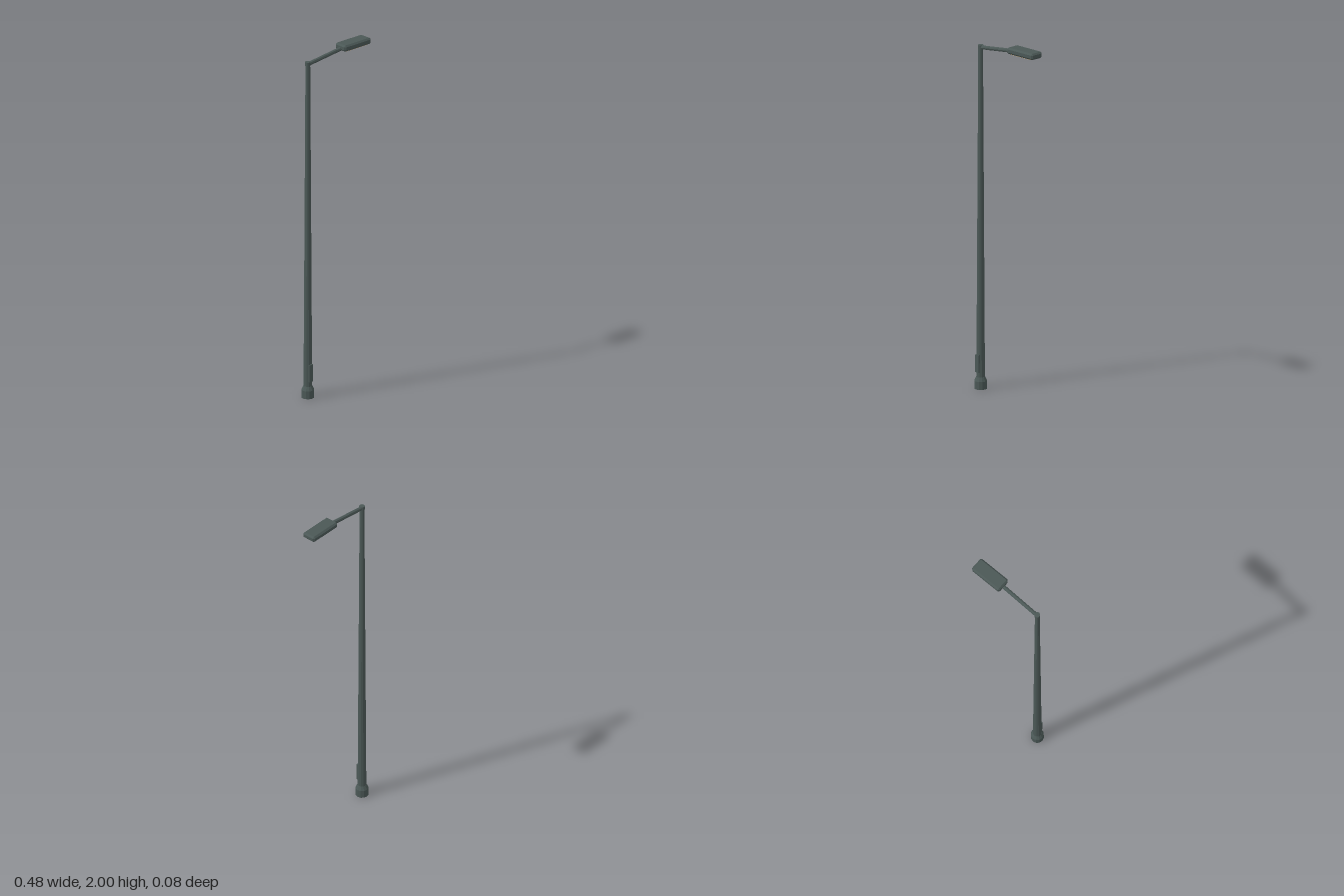
import * as THREE from 'three';
import { ConvexGeometry } from 'three/addons/geometries/ConvexGeometry.js';

const SIDES = 12;
const POLE_X = -0.203;

const metal = new THREE.MeshStandardMaterial({ color: 0x4b5856, flatShading: true });
const glow = new THREE.MeshStandardMaterial({ color: 0xd8b070, flatShading: true });

function addPart(parent, name, geometry, material, x, y, z) {
  const mesh = new THREE.Mesh(geometry, material);
  mesh.name = name;
  mesh.position.set(x, y, z);
  parent.add(mesh);
  return mesh;
}

// Box with every edge and corner cut at 45 degrees
function chamferedBox(w, h, d, c) {
  const points = [];
  for (const sx of [-1, 1]) for (const sy of [-1, 1]) for (const sz of [-1, 1]) {
    const [x, y, z] = [w / 2, h / 2, d / 2];
    points.push(
      new THREE.Vector3(sx * x, sy * (y - c), sz * (z - c)),
      new THREE.Vector3(sx * (x - c), sy * y, sz * (z - c)),
      new THREE.Vector3(sx * (x - c), sy * (y - c), sz * z)
    );
  }
  return new ConvexGeometry(points);
}

export function createModel() {
  const lamp = new THREE.Group();
  lamp.name = 'streetLamp';

  // Base collar with a sloped shoulder
  const collar = [[0, 0], [0.036, 0], [0.036, 0.045], [0.025, 0.068], [0, 0.068]];
  addPart(lamp, 'baseCollar',
    new THREE.LatheGeometry(collar.map(p => new THREE.Vector2(...p)), SIDES),
    metal, POLE_X, 0, 0);

  // Tapered pole and its cap
  addPart(lamp, 'pole', new THREE.CylinderGeometry(0.0135, 0.0245, 1.89, SIDES),
    metal, POLE_X, 1.005, 0);
  addPart(lamp, 'poleCap', new THREE.CylinderGeometry(0.016, 0.016, 0.022, SIDES),
    metal, POLE_X, 1.948, 0);

  // Service door low on the front
  addPart(lamp, 'serviceDoor', new THREE.BoxGeometry(0.026, 0.1, 0.012),
    metal, POLE_X, 0.146, 0.023);

  // Arm rising gently to the head
  const start = new THREE.Vector3(POLE_X, 1.945, 0);
  const end = new THREE.Vector3(0.055, 1.975, 0);
  const run = end.clone().sub(start);
  const mid = start.clone().add(end).multiplyScalar(0.5);
  const arm = addPart(lamp, 'arm', new THREE.CylinderGeometry(0.0115, 0.0115, run.length(), 8),
    metal, mid.x, mid.y, mid.z);
  arm.quaternion.setFromUnitVectors(new THREE.Vector3(0, 1, 0), run.normalize());

  // Lamp head with a warm panel underneath
  addPart(lamp, 'lampHead', chamferedBox(0.2, 0.036, 0.084, 0.009),
    metal, 0.139, 1.982, 0);
  addPart(lamp, 'lightPanel', new THREE.BoxGeometry(0.16, 0.006, 0.06),
    glow, 0.139, 1.9645, 0);

  return lamp;
}
